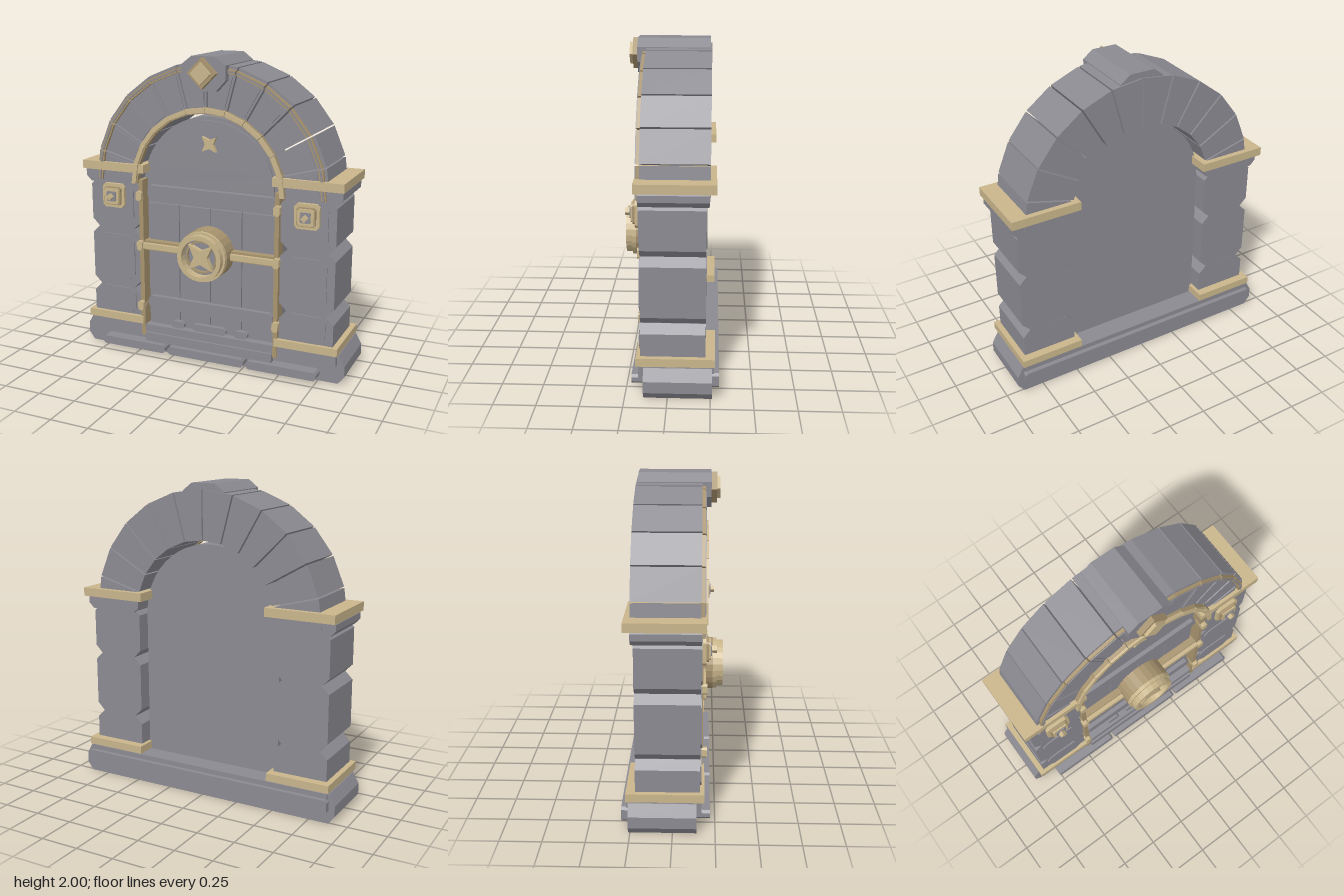
import * as THREE from 'three';

const stone = new THREE.MeshStandardMaterial({ color: 0x8b8a91 });
const gold = new THREE.MeshStandardMaterial({ color: 0xc9b58b });
const bronze = new THREE.MeshStandardMaterial({ color: 0xa8946f });
stone.name = 'stone';
gold.name = 'gold';
bronze.name = 'bronze';
for (const m of [stone, gold, bronze]) m.flatShading = true;

export function createModel() {
  const model = new THREE.Group();
  model.name = 'archedDoorway';

  const add = (name, geometry, material, parent = model) => {
    const mesh = new THREE.Mesh(geometry, material);
    mesh.name = name;
    parent.add(mesh);
    return mesh;
  };
  const polygon = (pts) => new THREE.Shape(pts.map(([x, y]) => new THREE.Vector2(x, y)));
  // Extrudes a front outline between two depths
  const slab = (name, shape, z0, z1, material, parent) => {
    const g = new THREE.ExtrudeGeometry(shape, { depth: z1 - z0, bevelEnabled: false, curveSegments: 12 });
    g.translate(0, 0, z0);
    return add(name, g, material, parent);
  };
  const box = (name, x0, x1, y0, y1, z0, z1, material, parent) => {
    const g = new THREE.BoxGeometry(x1 - x0, y1 - y0, z1 - z0);
    g.translate((x0 + x1) / 2, (y0 + y1) / 2, (z0 + z1) / 2);
    return add(name, g, material, parent);
  };
  // Rectangle with cut corners
  const cutRect = (x0, x1, y0, y1, c) => polygon([
    [x0 + c, y0], [x1 - c, y0], [x1, y0 + c], [x1, y1 - c],
    [x1 - c, y1], [x0 + c, y1], [x0, y1 - c], [x0, y0 + c]]);
  const diamond = (y, r) => polygon([[0, y - r], [r, y], [0, y + r], [-r, y]]);
  // Four-pointed star standing on two points
  const star = (y, outer, inner) => polygon(Array.from({ length: 8 }, (_, i) => {
    const a = (i + 1) * Math.PI / 4, r = i % 2 ? inner : outer;
    return [Math.cos(a) * r, y + Math.sin(a) * r];
  }));
  const archShape = (r, base, cy) => {
    const s = new THREE.Shape();
    s.moveTo(-r, base);
    s.lineTo(r, base);
    s.absarc(0, cy, r, 0, Math.PI, false);
    return s;
  };

  // Stepped plinth with kerb strips
  slab('plinth', polygon([[-0.88, 0], [0.88, 0], [0.92, 0.05], [0.92, 0.12], [0.88, 0.19],
    [-0.88, 0.19], [-0.92, 0.12], [-0.92, 0.05]]), -0.26, 0.14, stone);
  box('plinthStep', -0.87, 0.87, 0.12, 0.192, -0.27, 0.17, stone);
  slab('backKerb', cutRect(-0.88, 0.88, 0.07, 0.16, 0.015), -0.3, -0.25, stone);
  for (const [a, b] of [[-0.76, -0.29], [-0.27, 0.27], [0.29, 0.76]])
    slab('frontKerb', cutRect(a, b, 0.025, 0.08, 0.015), 0.13, 0.22, stone);
  box('threshold', -0.45, 0.45, 0.08, 0.14, 0.12, 0.185, stone);

  // Pillars, mirrored
  for (const side of [1, -1]) {
    const pillar = new THREE.Group();
    pillar.name = side > 0 ? 'leftPillar' : 'rightPillar';
    model.add(pillar);
    const span = (a, b) => (side > 0 ? [a, b] : [-b, -a]);
    const [x0, x1] = span(0.49, 0.845);
    const [p0, p1] = span(0.53, 0.795);
    for (const [y0, y1, py0, py1] of [[0.18, 0.435, 0.25, 0.43], [0.437, 0.845, 0.49, 0.8], [0.842, 1.18, 0.88, 1.15]]) {
      slab('pillarBlock', cutRect(x0, x1, y0, y1, 0.05), -0.22, 0.16, stone, pillar);
      slab('pillarPanel', cutRect(p0, p1, py0, py1, 0.04), 0.155, 0.168, stone, pillar);
    }
    box('pillarCore', ...span(0.54, 0.795), 0.18, 1.2, -0.219, 0.159, stone, pillar);
    slab('capitalStone', cutRect(...span(0.49, 0.88), 1.15, 1.26, 0.035), -0.235, 0.165, stone, pillar);
    box('capitalBand', ...span(0.44, 0.89), 1.235, 1.29, -0.275, 0.19, gold, pillar);
    box('footBand', ...span(0.465, 0.88), 0.197, 0.247, -0.275, 0.185, gold, pillar);

    // Square boss
    const cx = 0.665 * side;
    const square = (h, c) => cutRect(cx - h, cx + h, 1.07 - h, 1.07 + h, c);
    slab('bossPlate', square(0.08, 0.02), 0.16, 0.19, gold, pillar);
    slab('bossRim', square(0.06, 0.012), 0.18, 0.205, bronze, pillar);
    slab('bossRaised', square(0.052, 0.01), 0.19, 0.215, gold, pillar);
    slab('bossCentre', square(0.033, 0.006), 0.2, 0.222, stone, pillar);
    const stud = slab('bossStud', diamond(0, 0.022), 0.21, 0.25, gold, pillar);
    stud.position.set(cx, 1.07, 0);

    // Door edge strip and clasps
    box('edgeStrip', ...span(0.455, 0.485), 0.115, 1.19, 0.09, 0.175, bronze, pillar);
    for (const y of [0.33, 0.75, 1.085])
      slab('edgeClasp', cutRect(...span(0.455, 0.495), y - 0.032, y + 0.032, 0.01), 0.12, 0.2, gold, pillar);
  }

  // Arch of separate wedge stones with trim on the front
  const cy = 1.165, step = Math.PI / 12;
  const wedge = (i, r0, r1, gap) => {
    const a = i * step, b = a + step;
    // Corner on a joint ray, moved sideways by half the gap
    const at = (ang, r, s) => [Math.cos(ang) * r - Math.sin(ang) * s, cy + Math.sin(ang) * r + Math.cos(ang) * s];
    return polygon([at(a, r0, gap), at(a, r1, gap), at(b, r1, -gap), at(b, r0, -gap)]);
  };
  for (let i = 0; i < 12; i++) {
    slab('archStone', wedge(i, 0.49, 0.798, 0.005), -0.24, 0.16, stone);
    slab('archStonePanel', wedge(i, 0.535, 0.735, 0.02), 0.155, 0.168, stone);
    slab('archOuterTrim', wedge(i, 0.75, 0.78, 0.005), 0.155, 0.18, bronze);
    slab('archOuterBead', wedge(i, 0.76, 0.77, 0.005), 0.175, 0.186, stone);
    slab('archInnerTrim', wedge(i, 0.485, 0.522, 0.002), 0.15, 0.187, bronze);
    slab('archInnerBand', wedge(i, 0.493, 0.522, 0.002), 0.18, 0.2, gold);
  }

  // Keystone with diamond
  slab('keystone', polygon([[-0.08, 1.79], [0.08, 1.79], [0.145, 1.86], [0.145, 1.95], [0.08, 2],
    [-0.08, 2], [-0.145, 1.95], [-0.145, 1.86]]), -0.23, 0.215, stone);
  slab('keystoneFrame', diamond(1.9, 0.095), 0.21, 0.25, bronze);
  slab('keystoneGem', diamond(1.9, 0.068), 0.24, 0.27, gold);

  // Door leaf
  slab('doorLeaf', archShape(0.48, 0.15, 1.14), -0.14, 0.1, stone);
  slab('doorTopPanel', archShape(0.43, 1.155, 1.165), 0.09, 0.115, stone);
  slab('doorStar', star(1.45, 0.068, 0.028), 0.11, 0.14, gold);
  for (let i = 0; i < 4; i++)
    box('plank', -0.44 + i * 0.22 + 0.003, -0.22 + i * 0.22 - 0.003, 0.19, 1.03, 0.09, 0.12, stone);
  slab('upperRail', cutRect(-0.44, 0.44, 1.06, 1.15, 0.02), 0.09, 0.14, stone);
  slab('lowerRail', cutRect(-0.44, 0.44, 0.31, 0.395, 0.02), 0.1, 0.15, stone);
  for (const [a, b] of [[-0.27, -0.18], [-0.12, 0.12], [0.18, 0.27]])
    slab('lowerPlate', cutRect(a, b, 0.19, 0.24, 0.015), 0.1, 0.15, stone);

  // Crossbar
  box('crossbarEdge', -0.46, 0.46, 0.718, 0.782, 0.1, 0.165, bronze);
  box('crossbar', -0.46, 0.46, 0.732, 0.768, 0.15, 0.19, gold);

  // Round lock
  const ring = (name, r, hole, z0, z1, material) => {
    const s = new THREE.Shape().absarc(0, 0.75, r, 0, Math.PI * 2, false);
    if (hole) s.holes.push(new THREE.Path().absarc(0, 0.75, hole, 0, Math.PI * 2, true));
    slab(name, s, z0, z1, material);
  };
  ring('lockBase', 0.168, 0, 0.1, 0.235, bronze);
  ring('lockRing', 0.165, 0.122, 0.23, 0.26, gold);
  ring('lockInnerRing', 0.15, 0.122, 0.25, 0.3, gold);
  ring('lockDisc', 0.123, 0, 0.23, 0.242, stone);
  ring('lockFineRing', 0.108, 0.096, 0.235, 0.26, bronze);
  slab('lockStar', star(0.75, 0.115, 0.045), 0.24, 0.28, gold);

  return model;
}
